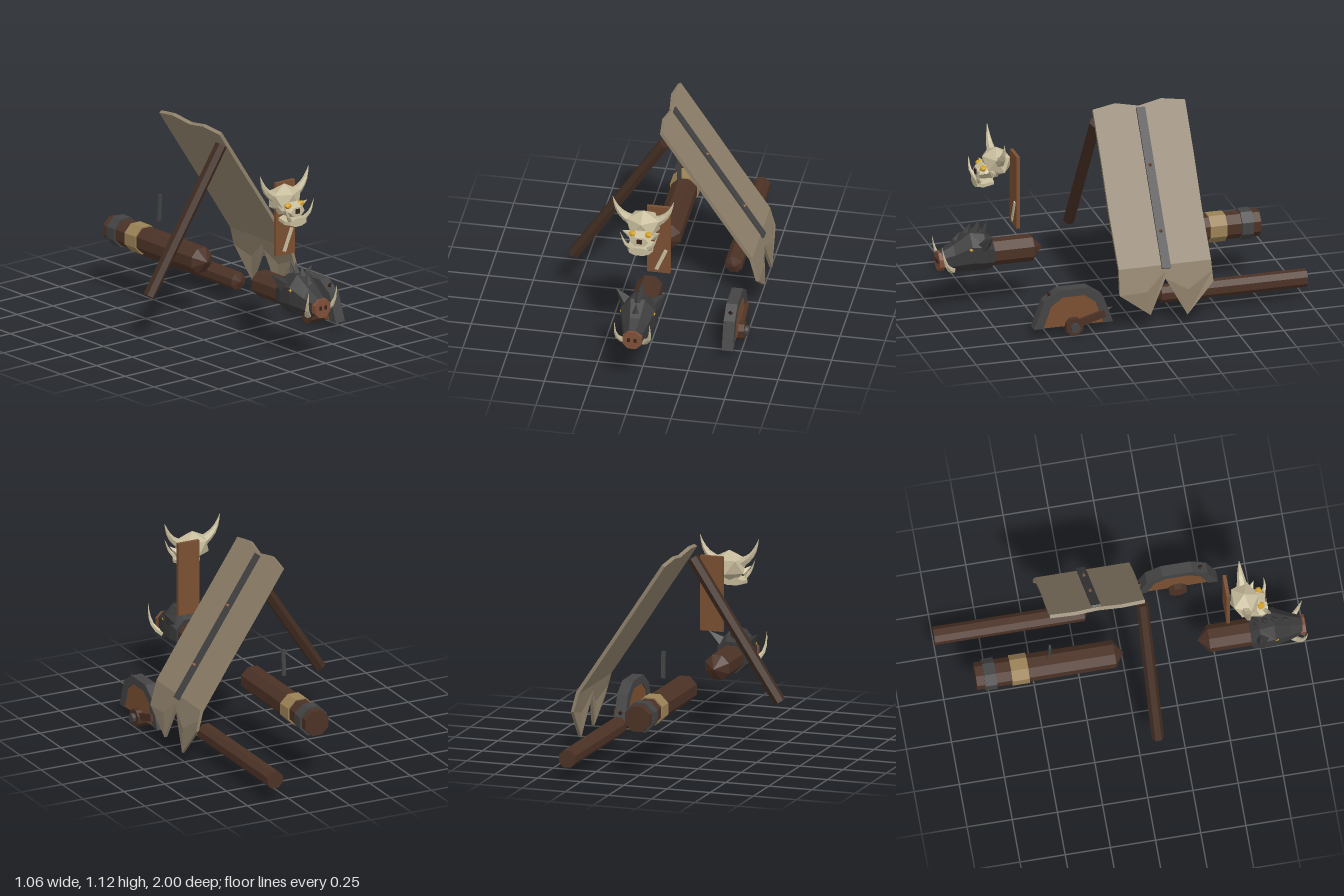
import * as THREE from 'three';

const mat = (color) => new THREE.MeshStandardMaterial({ color, flatShading: true, side: THREE.DoubleSide });
const WOOD = mat(0x4c3226), BEAM = mat(0x412c21), PLANK = mat(0x7a4f31), IRON = mat(0x434343), FUR = mat(0x39393a);
const BONE = mat(0xc6bb9b), HIDE = mat(0x8f816b), GOLD = mat(0xd2a128), ROPE = mat(0x9a8156), SNOUT = mat(0x80503a), DARK = mat(0x35231b);
const V = (x, y, z) => new THREE.Vector3(x, y, z);

function add(parent, name, geo, material, x = 0, y = 0, z = 0) {
  const m = new THREE.Mesh(geo, material);
  m.name = name;
  m.position.set(x, y, z);
  parent.add(m);
  return m;
}
const box = (p, name, m, w, h, d, x, y, z) => add(p, name, new THREE.BoxGeometry(w, h, d), m, x, y, z);

// Faceted post along z; tip0 and tip1 are the lengths of its pointed ends
function log(p, name, m, r, z0, z1, x, y, tip0 = 0, tip1 = 0, sides = 8) {
  const pts = [[0, z0], [r, z0 + tip0], [r, z1 - tip1], [0, z1]].map((a) => new THREE.Vector2(...a));
  const g = new THREE.LatheGeometry(pts, sides).rotateY(Math.PI / sides).rotateX(Math.PI / 2);
  return add(p, name, g, m, x, y, 0);
}

// Pointed cone between two points
function spike(p, name, m, from, to, r, sides = 4) {
  const d = to.clone().sub(from);
  const c = add(p, name, new THREE.ConeGeometry(r, d.length(), sides), m);
  c.position.copy(from).addScaledVector(d, 0.5);
  c.quaternion.setFromUnitVectors(V(0, 1, 0), d.normalize());
  return c;
}

// Curved horn tapering to a point
function horn(p, name, pts, r) {
  const n = 5, k = 6, curve = new THREE.CatmullRomCurve3(pts);
  const g = new THREE.TubeGeometry(curve, n, r, k);
  const a = g.attributes.position, v = V();
  for (let i = 0; i < a.count; i++) {
    const t = Math.floor(i / (k + 1)) / n;
    v.fromBufferAttribute(a, i).lerp(curve.getPointAt(t), t * 0.97);
    a.setXYZ(i, v.x, v.y, v.z);
  }
  return add(p, name, g, BONE);
}

// Faceted body through stations [z, centreY, halfWidth, halfHeight], front to back
function loft(p, name, m, st, sides = 8) {
  const n = st.length - 1;
  const g = new THREE.CylinderGeometry(1, 1, 1, sides, n, false, Math.PI / sides);
  const a = g.attributes.position;
  for (let i = 0; i < a.count; i++) {
    const [z, cy, w, h] = st[Math.round((0.5 - a.getY(i)) * n)];
    a.setXYZ(i, a.getX(i) * w, cy - a.getZ(i) * h, z);
  }
  return add(p, name, g, m);
}

function makeHide(root) {
  const g = new THREE.Group();
  g.name = 'hideRoof';
  // Sheet bent at the eave with two torn points at the bottom
  const zTop = [0.11, -0.02, -0.15, -0.28, -0.415], zEnd = [0.115, -0.06, -0.15, -0.27, -0.42];
  const top = [1.1, 1.118, 1.095, 1.118, 1.1], end = [0.22, 0.09, 0.287, 0.07, 0.245];
  const xAt = (y) => (y > 0.35 ? (1.06 - y) / 1.512 : y > 0.22 ? 0.47 + (0.35 - y) * 0.28 : 0.506 + (0.22 - y) * 0.02);
  const geo = new THREE.BoxGeometry(1, 1, 1, 1, 5, 4), a = geo.attributes.position;
  for (let i = 0; i < a.count; i++) {
    const row = Math.round((0.5 - a.getY(i)) * 5), col = Math.round((0.5 - a.getZ(i)) * 4);
    const out = a.getX(i) > 0 ? 0.02 : 0;
    const f = row < 4 ? 0 : row === 4 ? 0.5 : 1;
    let y = THREE.MathUtils.lerp(top[col], 0.35, Math.min(row / 3, 1));
    y = THREE.MathUtils.lerp(y, end[col], f);
    const z = THREE.MathUtils.lerp(zTop[col], zEnd[col], f) + (row === 2 ? 0.004 : 0);
    a.setXYZ(i, xAt(y) + out * 0.83, y + out * 0.55 * (1 - f), z);
  }
  add(g, 'hideSheet', geo, HIDE);
  // Iron strap with rivets
  const strap = box(g, 'ironStrap', IRON, 0.014, 0.905, 0.05, 0.252, 0.722, -0.157);
  strap.rotation.z = 0.584;
  for (const y of [0.83, 0.52]) {
    const x = (1.103 - y) / 1.512 + 0.002;
    spike(g, 'strapRivet', PLANK, V(x, y, -0.157), V(x + 0.022, y + 0.014, -0.157), 0.014, 6);
  }
  root.add(g);
}

function makeWheel(root) {
  const g = new THREE.Group();
  g.name = 'brokenWheel';
  g.position.set(0.437, 0.055, 0.362);
  const outer = [[0.225, 0], [0.168, 0.155], [0.083, 0.215], [-0.083, 0.215], [-0.168, 0.155], [-0.225, 0]];
  const inner = outer.map(([u, v]) => [u * 0.76, v * 0.8]);
  const slab = (pts, depth) => new THREE.ExtrudeGeometry(
    new THREE.Shape(pts.map((q) => new THREE.Vector2(...q))), { depth, bevelEnabled: false }
  ).translate(0, 0, -depth / 2).rotateY(-Math.PI / 2);
  add(g, 'wheelRim', slab([...outer, ...inner.slice().reverse()], 0.063), IRON);
  add(g, 'wheelDisc', slab(inner, 0.05), PLANK);
  // Hub, end cap and one remaining spoke
  const turn = (r, l) => new THREE.CylinderGeometry(r, r, l, 8, 1, false, Math.PI / 8).rotateZ(Math.PI / 2);
  add(g, 'hub', turn(0.052, 0.115), WOOD);
  add(g, 'hubCap', turn(0.027, 0.024), IRON, 0.066);
  const spoke = box(g, 'spoke', WOOD, 0.02, 0.04, 0.18, 0.037, 0.032, -0.09);
  spoke.rotation.x = 0.28;
  // Studs on the rim
  spike(g, 'rimStud', DARK, V(0, 0.18, 0.125), V(0, 0.21, 0.145), 0.015);
  spike(g, 'rimStud', DARK, V(0, 0.06, -0.2), V(0, 0.073, -0.232), 0.015);
  root.add(g);
}

function makeSkull(root) {
  const g = new THREE.Group();
  g.name = 'hornedSkull';
  g.position.set(-0.015, 0.87, 0.66);
  const c = new THREE.IcosahedronGeometry(1, 0).rotateZ(0.5536).rotateY(Math.PI / 10).scale(0.105, 0.085, 0.088);
  add(g, 'cranium', c, BONE, 0, 0, 0);
  loft(g, 'upperJaw', BONE, [[0.115, -0.05, 0.05, 0.03], [0.08, -0.042, 0.065, 0.045], [0, -0.035, 0.07, 0.05]], 6);
  loft(g, 'lowerJaw', BONE, [[0.125, -0.107, 0.06, 0.025], [0.09, -0.107, 0.077, 0.026], [0.03, -0.1, 0.07, 0.022]], 8);
  box(g, 'noseHole', DARK, 0.028, 0.026, 0.02, 0, -0.046, 0.11);
  for (const s of [-1, 1]) {
    horn(g, 'skullHorn', [V(s * 0.07, 0.02, 0), V(s * 0.115, 0.05, 0), V(s * 0.148, 0.095, 0), V(s * 0.17, 0.158, 0)], 0.03);
    horn(g, 'jawTusk', [V(s * 0.042, -0.1, 0.105), V(s * 0.075, -0.06, 0.125), V(s * 0.105, 0.01, 0.125)], 0.015);
    add(g, 'skullEye', new THREE.IcosahedronGeometry(0.022, 0).scale(1.1, 0.8, 1), GOLD, s * 0.043, -0.016, 0.085);
    spike(g, 'cheekBone', BONE, V(s * 0.06, -0.05, 0.04), V(s * 0.105, -0.01, 0.07), 0.025, 5);
  }
  root.add(g);
}

function makeBoar(root) {
  const g = new THREE.Group();
  g.name = 'boarRam';
  g.position.x = -0.015;
  log(g, 'ramLog', WOOD, 0.075, 0.4, 0.72, 0, 0.34, 0.06, 0);
  loft(g, 'boarHead', FUR, [
    [0.98, 0.325, 0.05, 0.055], [0.91, 0.337, 0.073, 0.083], [0.82, 0.368, 0.104, 0.122],
    [0.74, 0.36, 0.105, 0.115], [0.69, 0.345, 0.088, 0.092],
  ]);
  log(g, 'snout', SNOUT, 0.057, 0.965, 0.995, 0, 0.322);
  for (const s of [-1, 1]) {
    box(g, 'nostril', DARK, 0.014, 0.022, 0.01, s * 0.018, 0.325, 0.995);
    add(g, 'boarEye', new THREE.IcosahedronGeometry(0.016, 0), GOLD, s * 0.084, 0.4, 0.825);
    horn(g, 'boarTusk', [V(s * 0.045, 0.275, 0.92), V(s * 0.08, 0.305, 0.955), V(s * 0.096, 0.36, 0.98), V(s * 0.097, 0.435, 0.995)], 0.019);
    spike(g, 'ear', FUR, V(s * 0.075, 0.41, 0.75), V(s * 0.142, 0.478, 0.72), 0.04);
  }
  // Mane bristles leaning back
  for (const [y, z, h, r] of [[0.43, 0.89, 0.05, 0.02], [0.465, 0.83, 0.06, 0.022], [0.46, 0.78, 0.07, 0.024], [0.44, 0.735, 0.09, 0.026]]) {
    spike(g, 'bristle', FUR, V(0, y, z), V(0, y + h, z - 0.025), r);
  }
  root.add(g);
}

export function createModel() {
  const root = new THREE.Group();
  root.name = 'siegeRamParts';

  // Leaning support beam
  const beam = add(root, 'leaningBeam', new THREE.CylinderGeometry(0.034, 0.034, 0.92, 6), BEAM, -0.257, 0.652, 0.097);
  beam.rotation.z = -0.582;

  makeHide(root);

  // Rear ram log with rope and iron bands, and a hanging iron tab
  log(root, 'rearLog', WOOD, 0.076, -0.83, -0.01, -0.015, 0.34, 0, 0.05);
  log(root, 'ropeBand', ROPE, 0.084, -0.635, -0.54, -0.015, 0.34);
  log(root, 'ironBand', IRON, 0.088, -0.785, -0.72, -0.015, 0.34);
  const tab = box(root, 'ironTab', IRON, 0.022, 0.15, 0.012, -0.02, 0.555, -0.42);
  tab.rotation.x = 0.06;

  // Loose ground log
  log(root, 'groundLog', WOOD, 0.051, -1, -0.15, 0.33, 0.127, 0, 0.02);

  makeWheel(root);

  // Plank with a bone splinter behind the skull
  box(root, 'plank', PLANK, 0.13, 0.42, 0.02, 0.055, 0.725, 0.573);
  const splinter = box(root, 'splinter', BONE, 0.02, 0.138, 0.008, 0.07, 0.6, 0.586);
  splinter.rotation.z = -0.4;

  makeSkull(root);
  makeBoar(root);
  return root;
}
